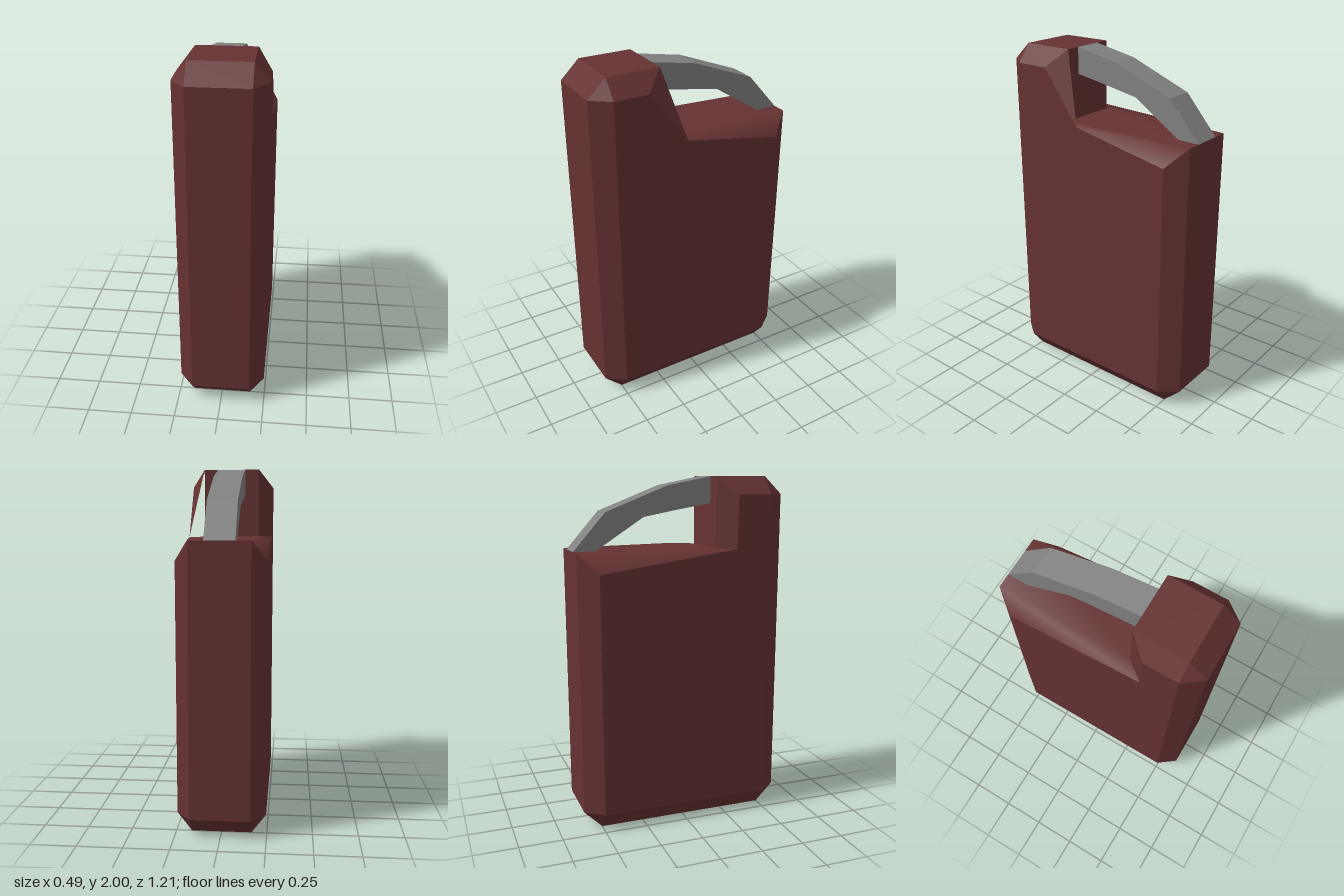
import * as THREE from 'three';

// Corner coordinates shared by the bevelled can
const XI = 0.165, XO = 0.245, ZI = 0.5, ZO = 0.605, Y0 = 0.105, Y1 = 1.9, YT = 2, YS = 1.6;
const INSIDE = new THREE.Vector3(0, 1, 0.35);

// Triangulates each polygon as a fan from its first corner, turned to face outward
function facesToTriangles(faces) {
  const out = [];
  for (const face of faces) {
    const p = face.map(c => new THREE.Vector3(...c));
    const n = p[1].clone().sub(p[0]).cross(p[2].clone().sub(p[0]));
    if (n.dot(p[0].clone().sub(INSIDE)) < 0) p.reverse().unshift(p.pop());
    for (let i = 1; i < p.length - 1; i++) {
      for (const v of [p[0], p[i], p[i + 1]]) out.push(v.x, v.y, v.z);
    }
  }
  return out;
}

export function createModel() {
  const group = new THREE.Group();
  const paint = new THREE.MeshStandardMaterial({ color: 0x663232 });
  paint.name = 'dark red paint';
  const metal = new THREE.MeshStandardMaterial({ color: 0x828282 });
  metal.name = 'grey metal';

  const add = (name, geometry, material) => {
    const mesh = new THREE.Mesh(geometry, material);
    mesh.name = name;
    group.add(mesh);
  };

  // The notch foot reaches further back on the left side
  const notch = s => [s * XO, YS, s > 0 ? 0.08 : 0.3];
  const both = f => [f(1), f(-1)];
  const strip = (a, b) => { // quad across the can, between two (x, y, z) corners
    return [a, b, [-b[0], b[1], b[2]], [-a[0], a[1], a[2]]];
  };

  // Faces that run across the can
  const faces = [
    strip([XI, 0, ZI], [XI, 0, -ZI]),     // bottom
    strip([XI, 0, ZI], [XI, Y0, ZO]),     // front lower bevel
    strip([XI, Y0, ZO], [XI, Y1, ZO]),    // front
    strip([XI, Y1, ZO], [XI, YT, ZI]),    // front upper bevel
    strip([XI, YT, ZI], [XI, YT, 0.2]),   // top of the head
    strip([XI, YT, 0.2], [XI, YS, 0.2]),  // notch wall
    strip([XI, 0, -ZI], [XI, Y0, -ZO]),   // back lower bevel
    strip([XI, Y0, -ZO], [XI, YS, -ZO]),  // back
  ];

  // Faces on both sides
  for (const s of [1, -1]) {
    const i = s * XI, o = s * XO;
    faces.push(
      [notch(s), [o, 1.49, -ZI], [o, Y0, -ZI], [o, Y0, ZI], [o, Y1, ZI], [o, Y1, 0.305]],
      [[i, 0, ZI], [i, 0, -ZI], [o, Y0, -ZI], [o, Y0, ZI]],        // lower bevel
      [[i, YT, ZI], [i, YT, 0.2], [o, Y1, 0.305], [o, Y1, ZI]],    // upper bevel
      [[i, Y0, ZO], [o, Y0, ZI], [o, Y1, ZI], [i, Y1, ZO]],        // front corner
      [[i, Y0, -ZO], [o, Y0, -ZI], [o, 1.49, -ZI], [i, YS, -ZO]],  // back corner
      [[i, 0, ZI], [o, Y0, ZI], [i, Y0, ZO]],
      [[i, 0, -ZI], [o, Y0, -ZI], [i, Y0, -ZO]],
      [[i, YT, ZI], [o, Y1, ZI], [i, Y1, ZO]],
      [[i, YT, 0.2], [o, Y1, 0.305], notch(s)],                    // notch wall corners
      [[i, YT, 0.2], notch(s), [i, YS, 0.2]],
    );
  }
  const body = new THREE.BufferGeometry();
  body.setAttribute('position', new THREE.Float32BufferAttribute(facesToTriangles(faces), 3));
  body.computeVertexNormals();
  add('canBody', body, paint);

  // Shoulder under the handle, softly shaded down to its low back corners
  const corners = [
    [XI, YS, -ZO], [-XI, YS, -ZO], [-XI, YS, 0.2], [XI, YS, 0.2],
    ...both(notch), ...both(s => [s * XO, 1.49, -ZI]),
  ];
  const shoulder = new THREE.BufferGeometry();
  shoulder.setAttribute('position', new THREE.Float32BufferAttribute(corners.flat(), 3));
  shoulder.setIndex([0, 1, 2, 0, 2, 3, 0, 3, 4, 1, 5, 2, 0, 4, 6, 1, 7, 5]);
  shoulder.computeVertexNormals();
  add('shoulder', shoulder, paint);

  // Bent strap handle, drawn as a (z, y) outline and extruded across x
  const outline = [
    [0.2, 2], [-0.06, 1.95], [-0.42, 1.81], [-0.605, 1.6],
    [-0.48, 1.6], [-0.2, 1.78], [-0.01, 1.815], [0.2, 1.85],
  ].map(([z, y]) => new THREE.Vector2(z, y));
  const handle = new THREE.ExtrudeGeometry(new THREE.Shape(outline), { depth: 0.164, bevelEnabled: false });
  handle.rotateY(-Math.PI / 2).translate(0.082, 0, 0);
  add('handle', handle, metal);

  return group;
}
